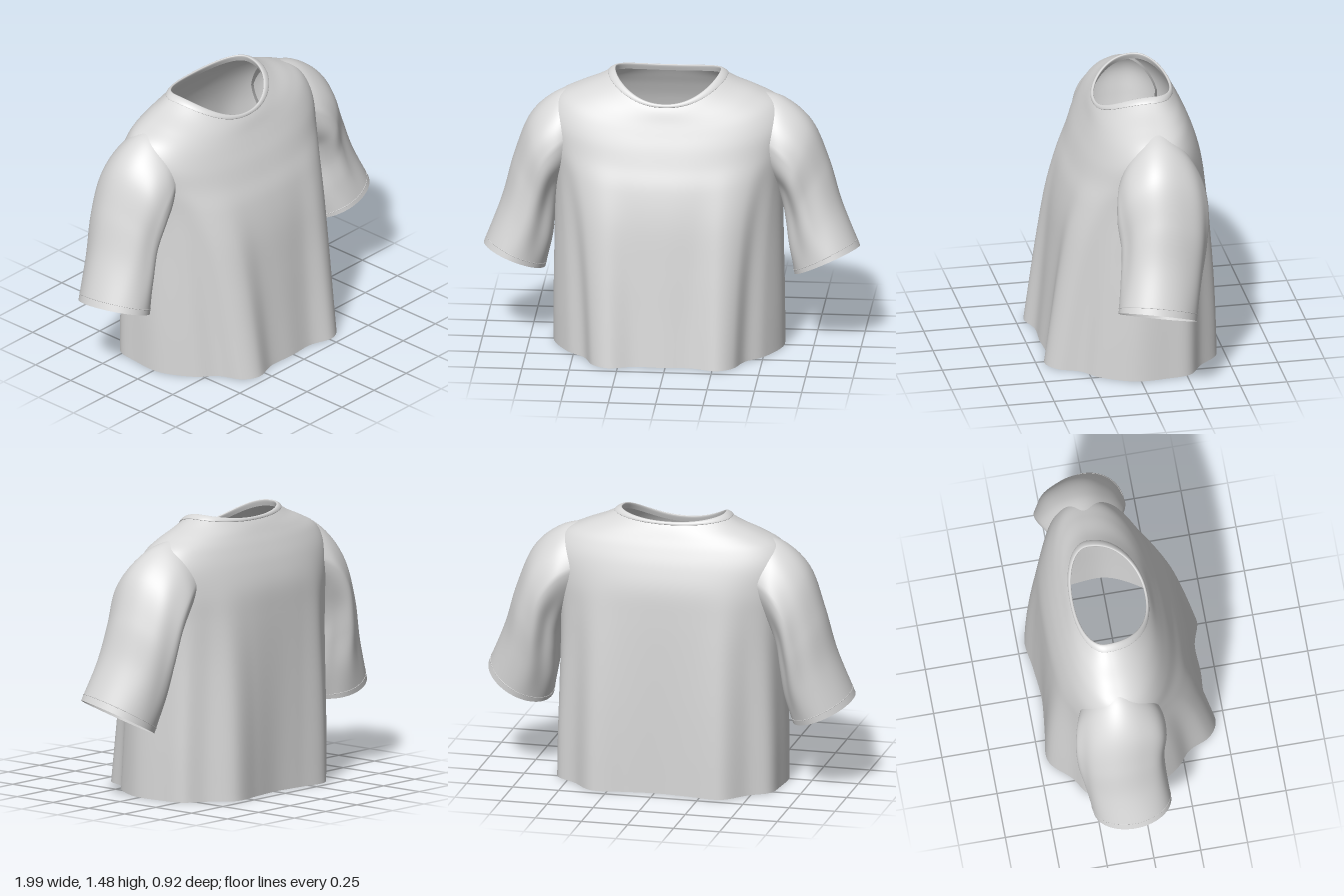
import * as THREE from 'three';

const fabric = new THREE.MeshStandardMaterial({ color: 0xd8d8d8, side: THREE.DoubleSide });
fabric.name = 'light grey fabric';

// Closed surface strip: makeColumn(u) gives a curve, u runs around (0..1)
function loft(name, around, along, makeColumn) {
  const pos = [], index = [];
  for (let j = 0; j < around; j++) {
    const column = makeColumn(j / around);
    for (let i = 0; i <= along; i++) pos.push(...column(i / along).toArray());
  }
  const row = along + 1;
  for (let j = 0; j < around; j++) {
    const k = (j + 1) % around;
    for (let i = 0; i < along; i++) {
      const a = j * row + i, b = k * row + i;
      index.push(a, b, a + 1, b, b + 1, a + 1);
    }
  }
  const geo = new THREE.BufferGeometry();
  geo.setAttribute('position', new THREE.Float32BufferAttribute(pos, 3));
  geo.setIndex(index);
  geo.computeVertexNormals();
  const mesh = new THREE.Mesh(geo, fabric);
  mesh.name = name;
  return mesh;
}

const smooth = (points) => {
  const curve = new THREE.CatmullRomCurve3(points, false, 'catmullrom', 0.5);
  return (v) => curve.getPoint(v);
};
const spow = (s, p) => Math.sign(s) * Math.pow(Math.abs(s), p);

// Draped hem outline, front centre round one side to back centre (x, z)
const hemHalf = [
  [0, 0.425], [0.15, 0.42], [0.28, 0.455], [0.37, 0.405], [0.425, 0.29], [0.52, 0.2], [0.605, 0.03],
  [0.6, -0.15], [0.575, -0.27], [0.47, -0.345], [0.35, -0.455], [0.17, -0.44], [0, -0.425],
];
const hem = new THREE.CatmullRomCurve3(
  [...hemHalf, ...hemHalf.slice(1, -1).reverse().map(([x, z]) => [-x, z])]
    .map(([x, z]) => new THREE.Vector3(x, 0, z)), true, 'catmullrom', 0.5);

// Torso rings: side y, half width, front y, front z, back y, back z, drape, middle z, squareness
const torso = [
  [0, 0.605, 0, 0.45, 0, -0.455, 1, -0.05, 2.5],
  [0.25, 0.605, 0.25, 0.42, 0.25, -0.453, 0.9, -0.05, 2.5],
  [0.5, 0.602, 0.5, 0.39, 0.5, -0.448, 0.74, -0.06, 2.5],
  [0.75, 0.6, 0.75, 0.355, 0.75, -0.438, 0.5, -0.08, 2.5],
  [0.95, 0.605, 0.93, 0.31, 0.95, -0.425, 0.24, -0.1, 2.5],
  [1.1, 0.625, 1.05, 0.262, 1.1, -0.41, 0.06, -0.11, 2.4],
  [1.235, 0.635, 1.14, 0.228, 1.22, -0.378, 0, -0.12, 2.3],
  [1.33, 0.585, 1.21, 0.198, 1.31, -0.342, 0, -0.12, 2.25],
  [1.385, 0.48, 1.27, 0.172, 1.37, -0.312, 0, -0.12, 2.3],
  [1.43, 0.37, 1.325, 0.15, 1.415, -0.288, 0, -0.125, 2.2],
  [1.478, 0.283, 1.362, 0.13, 1.448, -0.266, 0, -0.13, 2.15],
];

function torsoColumn(u) {
  const s = Math.sin(u * Math.PI * 2), c = Math.cos(u * Math.PI * 2), h = hem.getPoint(u);
  return smooth(torso.map(([sy, hw, fy, fz, by, bz, drape, mid, n], i) => {
    const front = c > 0;
    const x = hw * spow(s, 2 / n);
    const z = mid + (front ? fz - mid : mid - bz) * spow(c, 2 / n);
    const hz = h.z * (h.z > 0 ? fz / 0.45 : bz / -0.455);
    const y = sy + ((front ? fy : by) - sy) * c * c;
    return new THREE.Vector3(
      THREE.MathUtils.lerp(x, h.x * hw / 0.605, drape) - 0.015 - 0.0015 * i, y,
      THREE.MathUtils.lerp(z, hz, drape));
  }));
}

// Neckband: follows the top of the torso, slightly raised and rolled inward
function collarColumn(u) {
  const s = Math.sin(u * Math.PI * 2), c = Math.cos(u * Math.PI * 2), body = torsoColumn(u);
  const out = new THREE.Vector3(s * 0.5, 0.8, c * 0.6).normalize();
  const side = new THREE.Vector3(s, 0, c);
  const lower = body(0.962), middle = body(0.98), top = body(1);
  return smooth([
    lower.clone(),
    lower.clone().addScaledVector(out, 0.004),
    middle.addScaledVector(out, 0.007),
    top.clone().addScaledVector(out, 0.005),
    top.clone().addScaledVector(side, -0.006),
    top.clone().addScaledVector(side, 0.004).add(new THREE.Vector3(0, -0.03, 0)),
  ]);
}

// Sleeve rings: outer x, y, inner x, y, front z, back z, front lift, fold depth
const sleeve = [
  [0.44, 1.385, 0.5, 0.96, 0.06, -0.29, 0, 0],
  [0.605, 1.337, 0.555, 0.88, 0.12, -0.335, 0, 0.02],
  [0.745, 1.213, 0.59, 0.79, 0.135, -0.345, 0.01, 0.05],
  [0.833, 1.0, 0.605, 0.67, 0.12, -0.328, 0.015, 0.06],
  [0.897, 0.78, 0.617, 0.53, 0.135, -0.293, 0.025, 0.04],
  [0.99, 0.55, 0.645, 0.385, 0.165, -0.25, 0.042, 0],
];

// The right sleeve hangs a little lower and further back towards its cuff
const sleeveColumn = (dir) => (u) => {
  const t = u * Math.PI * 2, c = Math.cos(t), s = Math.sin(t) * dir;
  return smooth(sleeve.map(([ox, oy, ix, iy, fz, bz, lift, fold], i) => {
    const k = i / (sleeve.length - 1), hang = dir < 0 ? k * k : 0;
    const r = 1 + fold * (0.5 - 0.5 * c) * Math.sin(7 * Math.atan2(s, c) + i * 0.5)
      + fold * 0.3 * Math.sin(4 * t);
    const narrow = 1 - 0.3 * Math.max(0, c) * (1 - k);
    const x = (ox + ix) / 2 + (ox - ix) / 2 * c * r;
    const y = (oy + iy) / 2 + (oy - iy) / 2 * c * r + lift * s * (1 - 0.4 * hang);
    const z = (fz + bz) / 2 + (fz - bz) / 2 * s * r * narrow;
    return new THREE.Vector3(
      dir * (x + (0.02 - 0.01 * c) * hang) - 0.02 * (1 - k), y - (0.03 + 0.018 * c) * hang,
      z - 0.045 * hang);
  }));
};

// Fine raised stitch line round a strip at height v
function stitch(name, column, v) {
  const pts = Array.from({ length: 48 }, (_, j) => column(j / 48)(v));
  const mesh = new THREE.Mesh(
    new THREE.TubeGeometry(new THREE.CatmullRomCurve3(pts, true), 96, 0.002, 5, true), fabric);
  mesh.name = name;
  return mesh;
}

export function createModel() {
  const shirt = new THREE.Group();
  shirt.name = 'shirt';
  shirt.add(loft('torso', 160, 60, torsoColumn), loft('collar', 120, 15, collarColumn));
  for (const [dir, label] of [[1, 'left'], [-1, 'right']]) {
    const column = sleeveColumn(dir);
    shirt.add(loft(label + 'Sleeve', 96, 40, column), stitch(label + 'CuffStitch', column, 0.97));
  }
  return shirt;
}
